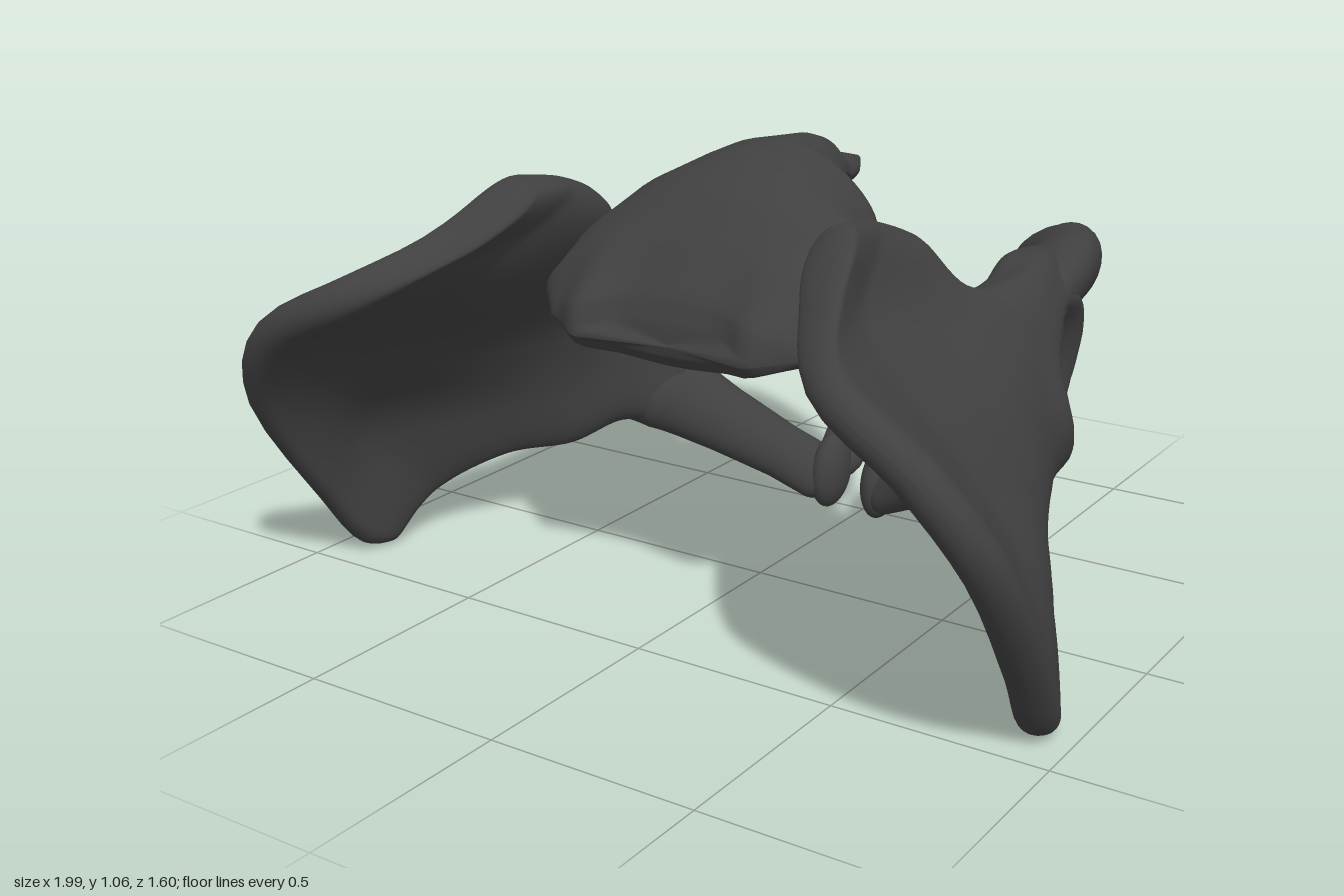
import * as THREE from 'three';

const V = (p) => new THREE.Vector3(...p);
const material = new THREE.MeshStandardMaterial({ color: 0x404040 });

// Closed loft: point(u, a) gives a vertex, u in 0..1 along, a in 0..2PI around.
function loft(rows, cols, point, side = 1) {
  const pos = [], idx = [];
  for (let i = 0; i <= rows; i++) {
    for (let j = 0; j < cols; j++) {
      const p = point(i / rows, (j / cols) * Math.PI * 2);
      pos.push(p.x * side, p.y, p.z);
    }
  }
  for (let i = 0; i < rows; i++) {
    for (let j = 0; j < cols; j++) {
      const a = i * cols + j, b = i * cols + (j + 1) % cols;
      idx.push(a, b, a + cols, b, b + cols, a + cols);
    }
  }
  // signed volume decides which way the faces turn
  let volume = 0;
  const at = (k) => new THREE.Vector3().fromArray(pos, idx[k] * 3);
  for (let k = 0; k < idx.length; k += 3) volume += at(k).dot(at(k + 1).cross(at(k + 2)));
  if (volume < 0) idx.reverse();
  const g = new THREE.BufferGeometry();
  g.setAttribute('position', new THREE.Float32BufferAttribute(pos, 3));
  g.setIndex(idx);
  g.computeVertexNormals();
  return g;
}

function named(name, geometry) {
  const m = new THREE.Mesh(geometry, material);
  m.name = name;
  return m;
}

// Interpolation of an evenly spaced list of numbers
function blend(list, u) {
  const s = Math.min(Math.max(u, 0), 1) * (list.length - 1);
  const i = Math.min(Math.floor(s), list.length - 2);
  return THREE.MathUtils.lerp(list[i], list[i + 1], s - i);
}

// Wing and socket body: rows from the crest back to the socket,
// each running from the upper inner edge to the lower outer edge
const wingRows = [
  [[0.405, 0.995, 0.36], [0.475, 0.89, 0.53], [0.62, 0.785, 0.75], [0.84, 0.665, 0.79], [0.955, 0.48, 0.72],
    [0.955, 0.17, 0.52], [0.93, 0.02, 0.41], [0.91, 0.005, 0.33]],
  [[0.40, 0.97, 0.20], [0.50, 0.80, 0.43], [0.77, 0.58, 0.52], [0.90, 0.36, 0.43], [0.85, 0.12, 0.22]],
  [[0.41, 0.90, 0.06], [0.51, 0.74, 0.17], [0.68, 0.55, 0.22], [0.77, 0.38, 0.18], [0.73, 0.20, 0.07]],
  [[0.50, 0.79, -0.03], [0.55, 0.69, -0.05], [0.62, 0.54, -0.02], [0.66, 0.38, -0.02], [0.63, 0.21, -0.06]],
  [[0.53, 0.79, -0.20], [0.56, 0.68, -0.20], [0.58, 0.53, -0.20], [0.58, 0.40, -0.18], [0.55, 0.25, -0.17]],
  [[0.51, 0.81, -0.34], [0.52, 0.68, -0.37], [0.53, 0.53, -0.36], [0.50, 0.40, -0.33], [0.46, 0.23, -0.27]],
  [[0.49, 0.79, -0.50], [0.485, 0.70, -0.51], [0.475, 0.58, -0.50], [0.455, 0.45, -0.44], [0.41, 0.31, -0.38]],
].map((r) => new THREE.CatmullRomCurve3(r.map(V)));
const wingThickness = [0.05, 0.035, 0.055, 0.09, 0.11, 0.105, 0.065];

const sheet = (u, v) =>
  new THREE.CatmullRomCurve3(wingRows.map((c) => c.getPoint(v))).getPoint(u);

const socketCentre = V([0.66, 0.54, -0.33]);
const socketAxis = V([0.87, -0.2, -0.42]).normalize();

// Presses the hip socket into the outer face and raises its rim
function pressSocket(p) {
  const d = p.clone().sub(socketCentre);
  const depth = d.dot(socketAxis);
  if (depth < -0.1) return p;
  const r = d.addScaledVector(socketAxis, -depth).length() / 0.18;
  const fade = THREE.MathUtils.smoothstep(depth, -0.1, -0.03);
  const dent = r < 1 ? -0.075 * (1 - r * r) ** 1.3 : 0;
  const rim = 0.03 * Math.exp(-(((r - 1.05) / 0.3) ** 2));
  return p.addScaledVector(socketAxis, (dent + rim) * fade);
}

function wingPoint(t, a) {
  const u = (1 - Math.cos(Math.PI * t)) / 2;
  const v = (1 - Math.cos(a)) / 2;
  const e = 0.004, u0 = Math.min(Math.max(u, e), 1 - e), v0 = Math.min(Math.max(v, e), 1 - e);
  const du = sheet(u0 + e, v0).sub(sheet(u0 - e, v0));
  const dv = sheet(u0, v0 + e).sub(sheet(u0, v0 - e));
  const n = du.cross(dv).normalize();
  const end = Math.min(1, u / 0.03, (1 - u) / 0.06);
  // thicker heel beside the sacrum and thicker front corner
  const heel = 1 + 1.1 * Math.exp(-((v / 0.14) ** 2)) * (1 - THREE.MathUtils.smoothstep(u, 0.28, 0.46))
    + 0.3 * Math.exp(-(((1 - v) / 0.2) ** 2)) * (1 - THREE.MathUtils.smoothstep(u, 0.05, 0.3));
  const th = blend(wingThickness, u) * heel * Math.sqrt(Math.max(0, 1 - (1 - end) ** 2));
  const s = Math.sin(a);
  return pressSocket(sheet(u, v).addScaledVector(n, th * Math.sign(s) * Math.abs(s) ** 0.55));
}

// Bone bar along a path; radii lie in and across the plane of the side opening
const openingNormal = V([0.52, -0.54, -0.66]).normalize();
function bar(path, wide, thick, side) {
  const curve = new THREE.CatmullRomCurve3(path.map(V));
  return loft(48, 28, (u, a) => {
    const b = curve.getTangent(u).cross(openingNormal).normalize();
    const n = b.clone().cross(curve.getTangent(u)).normalize();
    const k = Math.sqrt(Math.max(0, 1 - (1 - Math.min(1, u / 0.1, (1 - u) / 0.08)) ** 2));
    return curve.getPoint(u)
      .addScaledVector(b, Math.cos(a) * k * blend(wide, u))
      .addScaledVector(n, Math.sin(a) * k * blend(thick, u));
  }, side);
}

function hipBone(side) {
  const g = new THREE.Group();
  g.name = side > 0 ? 'leftHipBone' : 'rightHipBone';
  g.add(named('wingAndSocket', loft(72, 80, wingPoint, side)));
  // rear loop from the socket round to the front joint
  g.add(named('seatBoneLoop', bar(
    [[0.55, 0.64, -0.22], [0.525, 0.68, -0.38], [0.505, 0.705, -0.52], [0.47, 0.70, -0.63], [0.39, 0.67, -0.71],
      [0.285, 0.53, -0.725], [0.17, 0.34, -0.675], [0.095, 0.20, -0.585], [0.065, 0.10, -0.46]],
    [0.09, 0.12, 0.13, 0.125, 0.095, 0.072, 0.052, 0.055, 0.07],
    [0.06, 0.075, 0.085, 0.09, 0.08, 0.055, 0.04, 0.04, 0.045], side)));
  // lower bar from the socket to the front joint
  g.add(named('frontBar', bar(
    [[0.60, 0.38, -0.18], [0.48, 0.32, -0.28], [0.34, 0.235, -0.355], [0.20, 0.155, -0.415], [0.06, 0.085, -0.455]],
    [0.11, 0.115, 0.09, 0.075, 0.075],
    [0.08, 0.08, 0.065, 0.055, 0.045], side)));
  const joint = new THREE.SphereGeometry(1, 28, 20);
  joint.scale(0.046, 0.10, 0.07);
  joint.rotateX(-0.3);
  joint.translate(side * 0.075, 0.115, -0.46);
  g.add(named('frontJoint', joint));
  return g;
}

// Sacrum sections: z, half width, top, bottom, drop of the sides
const sacrumSections = [
  [0.375, 0.20, 0.71, 0.66, 0.01],
  [0.35, 0.34, 0.78, 0.625, 0.01],
  [0.27, 0.42, 0.89, 0.61, 0.03],
  [0.18, 0.42, 0.98, 0.66, 0.06],
  [0.09, 0.38, 1.035, 0.74, 0.08],
  [0.01, 0.31, 1.06, 0.82, 0.09],
  [-0.07, 0.27, 1.068, 0.88, 0.08],
  [-0.11, 0.17, 1.067, 0.91, 0.06],
  [-0.20, 0.105, 1.06, 0.925, 0.03],
  [-0.25, 0.085, 1.045, 0.925, 0.02],
  [-0.30, 0.07, 1.0, 0.915, 0.01],
  [-0.37, 0.05, 0.985, 0.91, 0],
  [-0.45, 0.005, 0.965, 0.955, 0],
];

function sacrumPoint(t, a) {
  const at = (k) => blend(sacrumSections.map((s) => s[k]), t);
  const k = t === 0 || t === 1 ? 0.001 : 1;
  const c = Math.cos(a), sine = Math.sin(a);
  // the underside is pinched so the middle hangs lowest
  const s = sine < 0 ? -(Math.abs(sine) ** 1.6) : sine;
  const x = at(1) * c * k, top = at(2), bottom = at(3);
  const y = (top + bottom) / 2 + ((top - bottom) / 2) * s * k - at(4) * c * c;
  // small forward horns beside the middle of the front edge
  const horn = 0.05 * Math.exp(-(((Math.abs(x) - 0.23) / 0.06) ** 2)) * (1 - THREE.MathUtils.smoothstep(t, 0.05, 0.25));
  return new THREE.Vector3(x, y, at(0) + horn);
}

export function createModel() {
  const model = new THREE.Group();
  model.name = 'pelvis';
  model.add(hipBone(1), hipBone(-1));
  model.add(named('sacrum', loft(72, 56, sacrumPoint)));
  return model;
}
